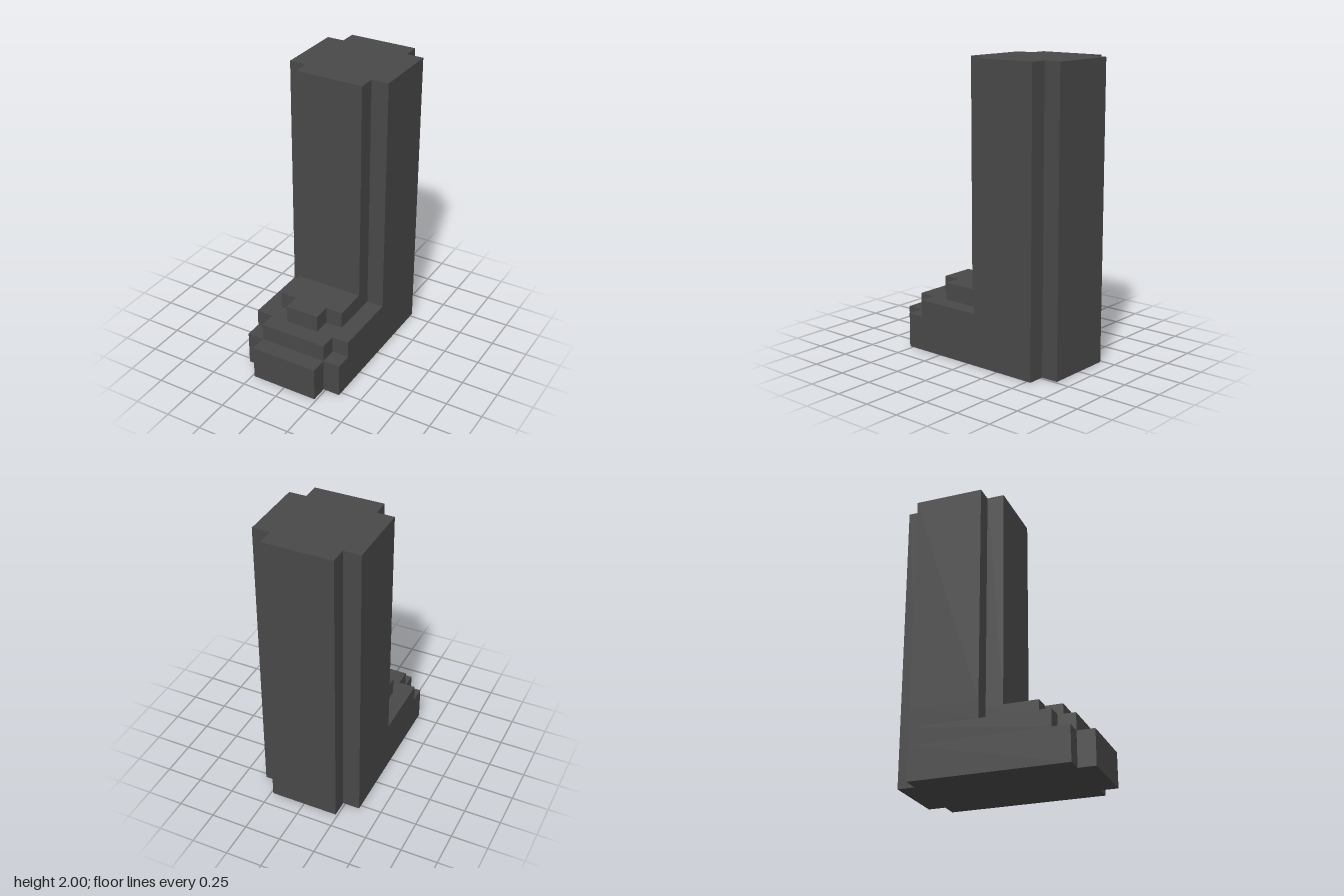
import * as THREE from 'three';

const U = 2 / 17; // one block; the leg is 17 blocks tall

// Extrudes a stepped plan, given as its +x half in blocks [x, z] from back to front, and mirrored to -x.
function layer(name, half, bottom, top, material) {
  const mirrored = half.map(([x, z]) => [-x, z]).reverse();
  const outline = [...half, ...mirrored].map(([x, z]) => new THREE.Vector2(x * U, -z * U));
  const geometry = new THREE.ExtrudeGeometry(new THREE.Shape(outline), {
    depth: (top - bottom) * U,
    bevelEnabled: false,
  });
  geometry.rotateX(-Math.PI / 2);
  geometry.translate(0, bottom * U, 0);
  const mesh = new THREE.Mesh(geometry, material);
  mesh.name = name;
  return mesh;
}

export function createModel() {
  const charcoal = new THREE.MeshStandardMaterial({ color: 0x484848 });
  charcoal.name = 'charcoal';

  const group = new THREE.Group();
  group.name = 'bootLeg';

  // Every layer shares the notched heel at the back
  const heel = [[2, -5.5], [2, -4.5], [3, -4.5]];

  group.add(
    // Sole with the protruding toe
    layer('sole', [...heel, [3, 4.5], [2, 4.5], [2, 5.5]], 0, 2, charcoal),
    // Upper foot, one block shorter
    layer('upperFoot', [...heel, [3, 3.5], [2, 3.5], [2, 4.5]], 2, 3, charcoal),
    // Ankle with the narrow tongue
    layer('ankle', [...heel, [3, -0.5], [2, -0.5], [2, 2.5], [1, 2.5], [1, 3.5]], 3, 4, charcoal),
    // Tall shaft with notched corners
    layer('shaft', [...heel, [3, -0.5], [2, -0.5], [2, 0.5]], 4, 17, charcoal),
  );
  return group;
}
